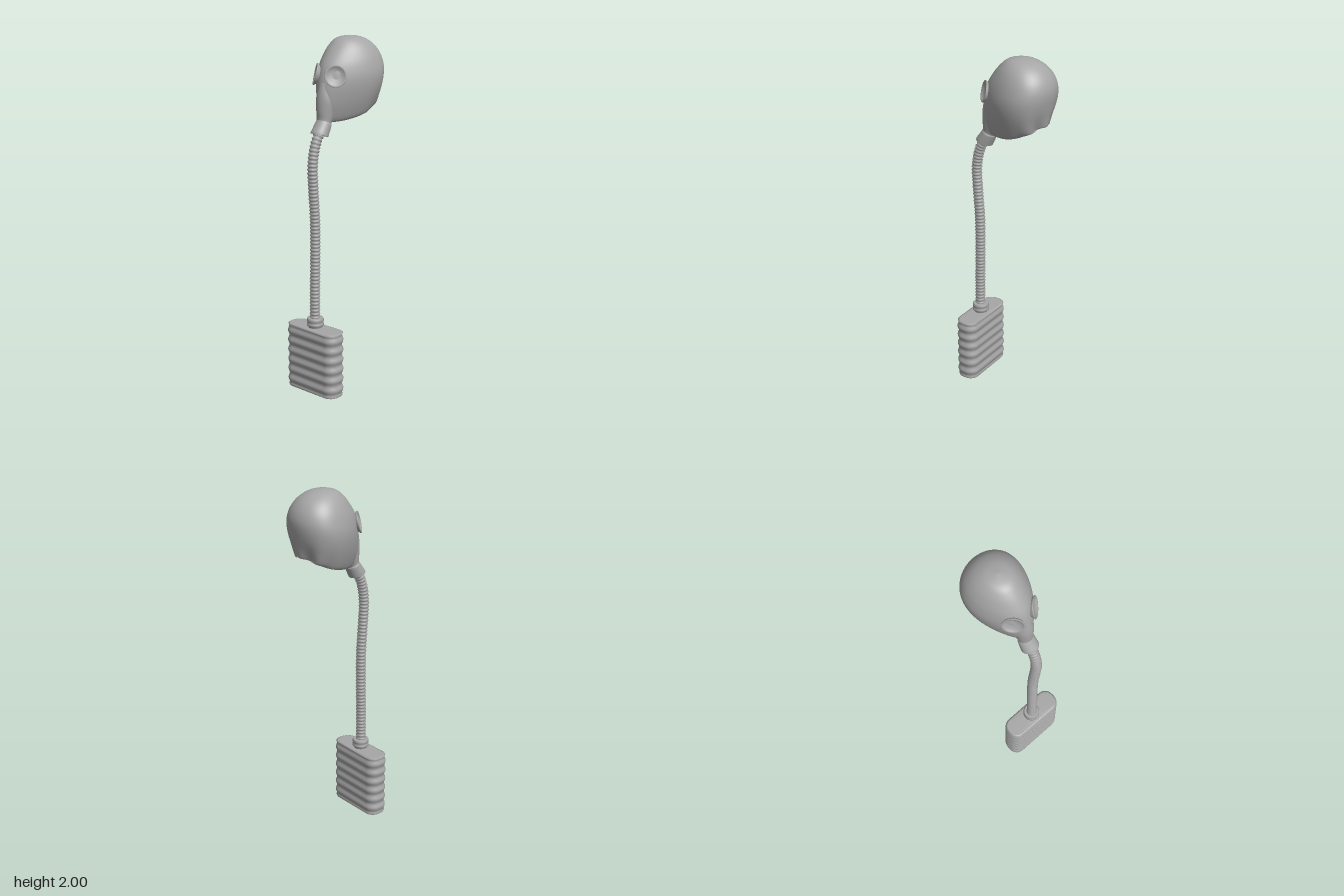
import * as THREE from 'three';

const rubberGrey = new THREE.MeshStandardMaterial({ color: 0xa6a6a6, side: THREE.DoubleSide });
rubberGrey.name = 'rubberGrey';

// Skin a list of closed rings, given from top to bottom
function loft(name, rings) {
  const n = rings[0].length, pos = [], idx = [];
  rings.forEach(r => r.forEach(p => pos.push(...p)));
  for (let i = 0; i < rings.length - 1; i++) {
    for (let j = 0; j < n; j++) {
      const a = i * n + j, b = i * n + (j + 1) % n;
      idx.push(a, a + n, b + n, a, b + n, b);
    }
  }
  const g = new THREE.BufferGeometry();
  g.setAttribute('position', new THREE.Float32BufferAttribute(pos, 3));
  g.setIndex(idx);
  g.computeVertexNormals();
  const m = new THREE.Mesh(g, rubberGrey);
  m.name = name;
  return m;
}

// Oval ring from a front point to a back point; k narrows the front,
// fold creases the back, sag lowers the sides
function oval([zf, yf, zb, yb, w, k = 0, fold = 0, sag = 0], n = 32) {
  return Array.from({ length: n }, (_, j) => {
    const a = j / n * Math.PI * 2, c = Math.cos(a), s = Math.sin(a);
    const dent = 1 - fold * Math.max(0, -c) * (0.5 - 0.5 * Math.cos(a * 8));
    return [
      w * s * (1 - k * c) * dent,
      (yf + yb) / 2 + (yf - yb) / 2 * c - sag * s * s,
      (zf + zb) / 2 + (zf - zb) / 2 * c * dent,
    ];
  });
}

// Rounded rectangle ring lying flat at height y
function roundedRect(y, hx, hz, r, zc) {
  const pts = [], signs = [[1, 1], [1, -1], [-1, -1], [-1, 1]];
  signs.forEach(([sx, sz], q) => {
    for (let i = 0; i <= 6; i++) {
      const a = (q + i / 6) * Math.PI / 2;
      pts.push([sx * (hx - r) + r * Math.sin(a), y, zc + sz * (hz - r) + r * Math.cos(a)]);
    }
  });
  return pts;
}

// Pass a few control rings through a smooth curve
function smoothRows(rows, count) {
  const width = rows[0].length;
  return Array.from({ length: count + 1 }, (_, i) => {
    const u = i / count * (rows.length - 1), s = Math.min(Math.floor(u), rows.length - 2), f = u - s;
    const at = q => rows[Math.max(0, Math.min(rows.length - 1, q))];
    return Array.from({ length: width }, (_, c) => {
      const [p0, p1, p2, p3] = [s - 1, s, s + 1, s + 2].map(q => at(q)[c]);
      return p1 + 0.5 * f * (p2 - p0 + f * (2 * p0 - 5 * p1 + 4 * p2 - p3 + f * (3 * (p1 - p2) + p3 - p0)));
    });
  });
}

function createHood() {
  // front z, front y, back z, back y, half width, front narrowing, folds, sag
  const rows = [
    [-0.08, 2.0, -0.08, 2.0, 0, 0, 0, 0],
    [-0.005, 1.985, -0.15, 1.99, 0.065, 0.05, 0, 0],
    [0.045, 1.945, -0.21, 1.96, 0.11, 0.12, 0, 0],
    [0.086, 1.895, -0.25, 1.915, 0.14, 0.2, 0, 0],
    [0.12, 1.84, -0.27, 1.865, 0.158, 0.25, 0, 0],
    [0.142, 1.765, -0.272, 1.815, 0.167, 0.29, 0, 0],
    [0.152, 1.69, -0.263, 1.755, 0.16, 0.34, 0.01, 0],
    [0.15, 1.61, -0.252, 1.7, 0.14, 0.4, 0.05, 0.008],
    [0.115, 1.54, -0.243, 1.65, 0.113, 0.42, 0.13, 0.018],
    [0.0, 1.562, -0.235, 1.645, 0.098, 0.15, 0.13, 0.016],
  ];
  return loft('hood', smoothRows(rows, 36).map(r => oval(r, 64)));
}

function createSnout() {
  const rows = [
    [0.147, 1.76, 0.05, 1.71, 0.04],
    [0.162, 1.68, 0.04, 1.64, 0.056],
    [0.165, 1.61, 0.05, 1.575, 0.05],
    [0.162, 1.565, 0.088, 1.53, 0.041],
    [0.168, 1.55, 0.088, 1.52, 0.046],
    [0.205, 1.5, 0.112, 1.468, 0.05],
  ];
  const rings = smoothRows(rows, 25).map(r => oval(r));
  // Flat lip at the mouth
  const lip = oval([0.208, 1.492, 0.115, 1.462, 0.05]);
  rings.push(lip, lip, oval([0.185, 1.485, 0.135, 1.468, 0.026]));
  return loft('snout', rings);
}

// Dished eyepiece with a raised rim, tilted outward and slightly up
function createEyepiece(side) {
  const profile = [[0.04, -0.03], [0.051, -0.01], [0.059, 0], [0.061, 0.005], [0.058, 0.008],
    [0.051, 0.006], [0.046, 0], [0.03, -0.005], [0, -0.008]];
  const g = new THREE.LatheGeometry(profile.map(p => new THREE.Vector2(...p)), 28);
  const m = new THREE.Mesh(g, rubberGrey);
  m.name = side > 0 ? 'leftEyepiece' : 'rightEyepiece';
  m.position.set(side * 0.071, 1.797, 0.108);
  m.quaternion.setFromUnitVectors(new THREE.Vector3(0, 1, 0),
    new THREE.Vector3(side * 0.68, 0.22, 0.7).normalize());
  return m;
}

function createHose() {
  const path = new THREE.CatmullRomCurve3([
    [1.49, 0.16], [1.44, 0.188], [1.38, 0.207], [1.3, 0.217], [1.18, 0.212],
    [1.0, 0.2], [0.8, 0.2], [0.6, 0.204], [0.42, 0.205],
  ].map(([y, z]) => new THREE.Vector3(0, y, z)));
  const ribs = 52, per = 4, rings = [];
  for (let i = 0; i <= ribs * per; i++) {
    const u = i / (ribs * per), c = path.getPointAt(u), t = path.getTangentAt(u);
    const r = 0.0275 + 0.003 * Math.cos(i / per * Math.PI * 2);
    rings.push(oval([c.z - t.y * r, c.y + t.z * r, c.z + t.y * r, c.y - t.z * r, r], 16));
  }
  return loft('hose', rings);
}

// Threaded neck joining the hose to the canister
function createNeck() {
  const profile = [[0.437, 0.02], [0.437, 0.044], [0.437, 0.044], [0.43, 0.048], [0.418, 0.048], [0.411, 0.041],
    [0.405, 0.048], [0.394, 0.048], [0.388, 0.04], [0.375, 0.04]];
  return loft('canisterNeck', profile.map(([y, r]) => oval([0.203 + r, y, 0.203 - r, y, r], 24)));
}

function createCanister() {
  const zc = 0.203, steps = 48, rings = [];
  const ring = (y, d) => roundedRect(y, 0.178 + d, 0.062 + d, 0.052 + d, zc);
  // Lid
  rings.push(roundedRect(0.382, 0.03, 0.03, 0.03, zc), ring(0.38, -0.006), ring(0.38, -0.006));
  // Ribbed wall
  rings.push(ring(0.376, 0.004));
  for (let i = 0; i <= steps; i++) {
    const u = i / steps;
    rings.push(ring(0.365 - u * 0.35, 0.003 - 0.004 * Math.cos(u * Math.PI * 12)));
  }
  // Base with an open air hole
  const base = ring(0, 0);
  rings.push(ring(0.008, 0.003), base, base, roundedRect(0, 0.026, 0.026, 0.026, zc));
  return loft('canister', rings);
}

export function createModel() {
  const model = new THREE.Group();
  model.name = 'breathingMask';
  model.add(createHood(), createSnout(), createEyepiece(1), createEyepiece(-1),
    createHose(), createNeck(), createCanister());
  return model;
}
